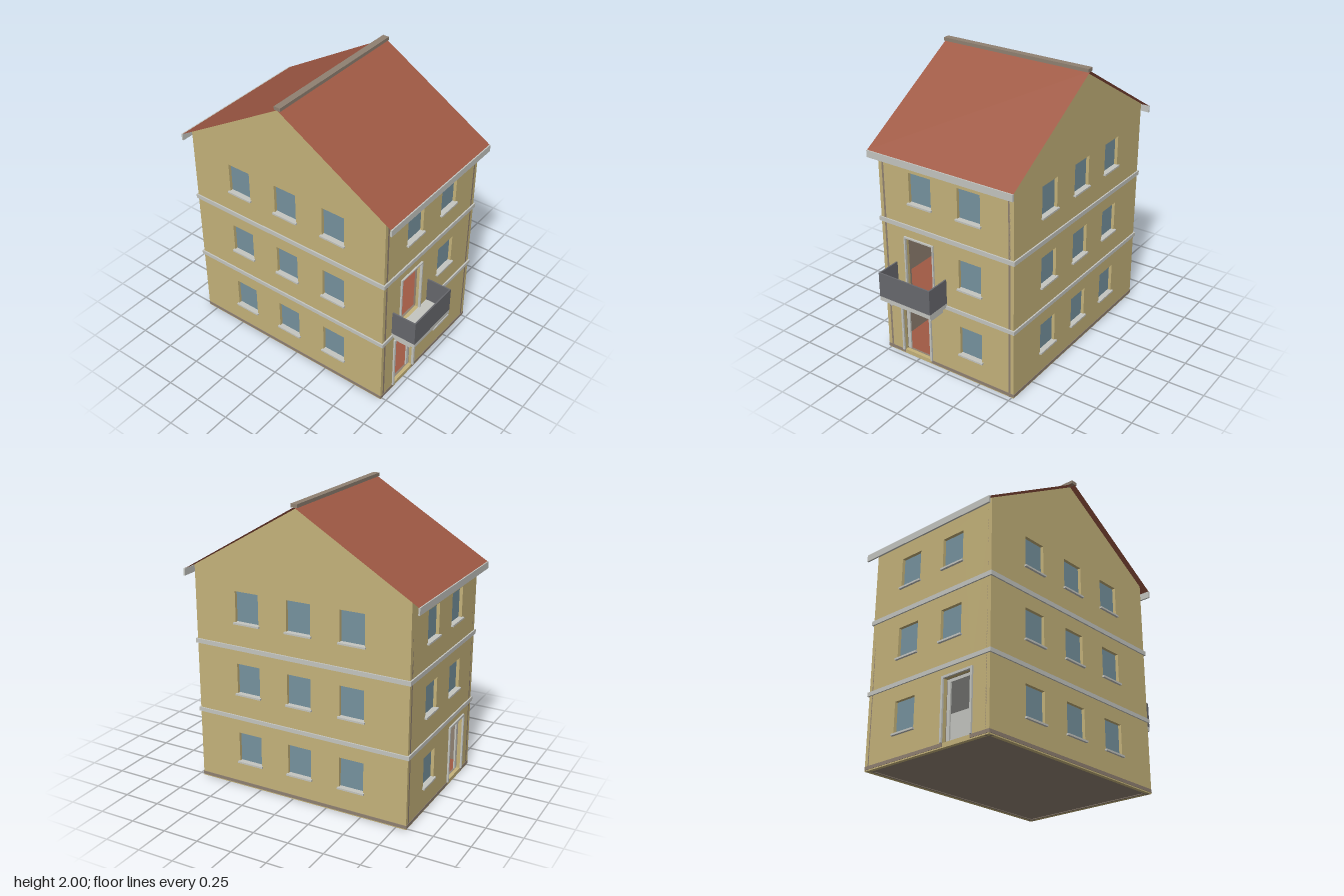
import * as THREE from 'three';

const mat = (name, color, side = THREE.FrontSide) => {
  const m = new THREE.MeshStandardMaterial({ color, side });
  m.name = name;
  return m;
};

export function createModel() {
  const wallTan = mat('wallTan', 0xc4b27a);
  const roofRed = mat('roofRed', 0x9f5944, THREE.DoubleSide);
  const trimGrey = mat('trimGrey', 0xc4c5c0);
  const stoneBrown = mat('stoneBrown', 0x8f8071);
  const glassBlue = mat('glassBlue', 0x76929e);
  const railGrey = mat('railGrey', 0x67686d);

  const house = new THREE.Group();
  house.name = 'house';

  // Box given by its minimum and maximum on each axis
  function box(parent, name, material, x0, x1, y0, y1, z0, z1) {
    const mesh = new THREE.Mesh(new THREE.BoxGeometry(x1 - x0, y1 - y0, z1 - z0), material);
    mesh.position.set((x0 + x1) / 2, (y0 + y1) / 2, (z0 + z1) / 2);
    mesh.name = name;
    parent.add(mesh);
    return mesh;
  }

  const HX = 0.515, HZ = 0.768, ZC = -0.053;   // half width, half depth, centre of the body
  const OUTER = 0.025, T = 0.04;               // outer skin and full wall thickness
  const STOREY = 0.495, WIN_W = 0.172, WIN_H = 0.21;

  // Wall in its own plane, outside facing local +z, with cut openings
  function wall(name, outline, windows, doors) {
    const g = new THREE.Group();
    g.name = name;
    const openings = windows.map(([u, floor]) => {
      const y = 0.18 + floor * STOREY;
      return [u - WIN_W / 2, u + WIN_W / 2, y, y + WIN_H];
    }).concat(doors);
    const shape = new THREE.Shape(outline.map(p => new THREE.Vector2(...p)));
    for (const [a, b, c, d] of openings) {
      shape.holes.push(new THREE.Path([[a, c], [a, d], [b, d], [b, c]].map(p => new THREE.Vector2(...p))));
    }
    const layer = (label, material, depth, back) => {
      const geo = new THREE.ExtrudeGeometry(shape, { depth, bevelEnabled: false });
      const mesh = new THREE.Mesh(geo, material);
      mesh.position.z = -back;
      mesh.name = label;
      g.add(mesh);
    };
    layer('outerWall', wallTan, OUTER, OUTER);
    layer('innerWall', stoneBrown, T - OUTER, T);
    for (const [u, floor] of windows) {
      const y = 0.18 + floor * STOREY;
      box(g, 'windowPane', glassBlue, u - WIN_W / 2, u + WIN_W / 2, y, y + WIN_H, -0.03, -0.022);
      box(g, 'windowSill', trimGrey, u - 0.095, u + 0.095, y - 0.01, y + 0.002, -0.022, 0.016);
    }
    house.add(g);
    return g;
  }

  // Frame of two posts and a head around an opening
  function frame(parent, name, material, [a, b, c, d], w, z0, z1) {
    box(parent, name, material, a - w, a, c, d + w, z0, z1);
    box(parent, name, material, b, b + w, c, d + w, z0, z1);
    box(parent, name, material, a, b, d, d + w, z0, z1);
  }

  // Front and back walls
  const W = HX - 0.001;
  const flat = [[-W, 0], [W, 0], [W, 1.51], [-W, 1.51]];
  const door = [-0.37, -0.15, 0.03, 0.425];
  const backDoor = [0.15, 0.37, 0.03, 0.425];
  const balconyDoor = [-0.32, -0.105, 0.53, 0.91];

  const front = wall('frontWall', flat, [[0.185, 0], [0.185, 1], [0.185, 2], [-0.19, 2]], [door, balconyDoor]);
  front.position.z = ZC + HZ;
  const back = wall('backWall', flat,
    [[-0.185, 0], [-0.185, 1], [-0.185, 2], [0.19, 1], [0.19, 2]], [backDoor]);
  back.rotation.y = Math.PI;
  back.position.z = ZC - HZ;

  for (const [g, o] of [[front, door], [back, backDoor]]) {
    frame(g, 'doorFrame', trimGrey, o, 0.015, -0.005, 0.012);
    frame(g, 'innerDoorFrame', trimGrey, [o[0] + 0.025, o[1] - 0.025, o[2], o[3] - 0.02], 0.0245, -0.039, -0.028);
    // Plinth strip, broken at the threshold
    box(g, 'plinth', stoneBrown, -HX, o[0], 0.008, 0.03, -0.005, 0.003);
    box(g, 'plinth', stoneBrown, o[1], HX, 0.008, 0.03, -0.005, 0.003);
  }
  frame(front, 'balconyDoorFrame', trimGrey, balconyDoor, 0.01, -0.005, 0.012);

  // Gabled side walls
  const D = HZ;
  const gable = [[-D, 0], [D, 0], [D, 1.515], [0, 1.97], [-D, 1.515]];
  const sideWindows = [0, 1, 2].flatMap(f => [-0.378, 0, 0.378].map(u => [u, f]));
  for (const s of [1, -1]) {
    const g = wall(s > 0 ? 'leftWall' : 'rightWall', gable, sideWindows, []);
    g.rotation.y = s * Math.PI / 2;
    g.position.set(s * HX, 0, ZC);
    box(g, 'plinth', stoneBrown, -HZ, HZ, 0.008, 0.03, -0.005, 0.003);
  }

  // Storey floors with red tops, and pale ceilings below
  const ix = HX - T, z0 = ZC - HZ + T, z1 = ZC + HZ - T;
  [0.028, 0.518, 1.01, 1.5].forEach((y, i) => {
    box(house, 'floorSurface', roofRed, -ix, ix, y - 0.006, y, z0, z1);
    box(house, i ? 'ceiling' : 'baseSlab', i ? trimGrey : stoneBrown, -ix, ix, y - 0.024, y - 0.006, z0, z1);
  });
  box(house, 'partitionWall', trimGrey, -0.1, ix, 0.028, 0.494, -0.26, -0.24);

  // String courses around the body
  for (const [y0, y1] of [[0.488, 0.515], [0.98, 1.01]]) {
    const p = 0.01;
    for (const s of [1, -1]) {
      const z = ZC + s * HZ, x = s * HX;
      box(house, 'stringCourse', trimGrey, -HX - p, HX + p, y0, y1, Math.min(z, z + s * p), Math.max(z, z + s * p));
      box(house, 'stringCourse', trimGrey, Math.min(x, x + s * p), Math.max(x, x + s * p), y0, y1, ZC - HZ, ZC + HZ);
    }
  }

  // Thin roof slopes, fascias and ridge cap
  const run = 0.828, rise = 0.495, eave = 1.485;
  for (const s of [1, -1]) {
    const geo = new THREE.PlaneGeometry(1.1, Math.hypot(run, rise));
    geo.rotateX(-Math.PI / 2 + s * Math.atan2(rise, run));
    const slope = new THREE.Mesh(geo, roofRed);
    slope.position.set(0, eave + rise / 2, ZC + s * run / 2);
    slope.name = 'roofSlope';
    house.add(slope);
    const z = ZC + s * (run - 0.001);
    box(house, 'fascia', trimGrey, -0.55, 0.55, 1.44, 1.487, z - 0.006, z + 0.006);
  }
  box(house, 'ridgeCap', stoneBrown, -0.55, 0.55, 1.977, 2, ZC - 0.023, ZC + 0.023);

  // Balcony with solid railing and two brackets
  const balcony = new THREE.Group();
  balcony.name = 'balcony';
  const bz = ZC + HZ;
  box(balcony, 'balconySlab', trimGrey, -0.412, -0.002, 0.5, 0.53, bz, 0.89);
  box(balcony, 'frontRailing', railGrey, -0.412, -0.002, 0.53, 0.705, 0.88, 0.89);
  for (const x of [-0.412, -0.012]) box(balcony, 'sideRailing', railGrey, x, x + 0.01, 0.53, 0.705, bz, 0.88);
  for (const x of [-0.378, -0.058]) box(balcony, 'bracket', trimGrey, x, x + 0.02, 0.445, 0.5, bz, 0.836);
  house.add(balcony);

  return house;
}
